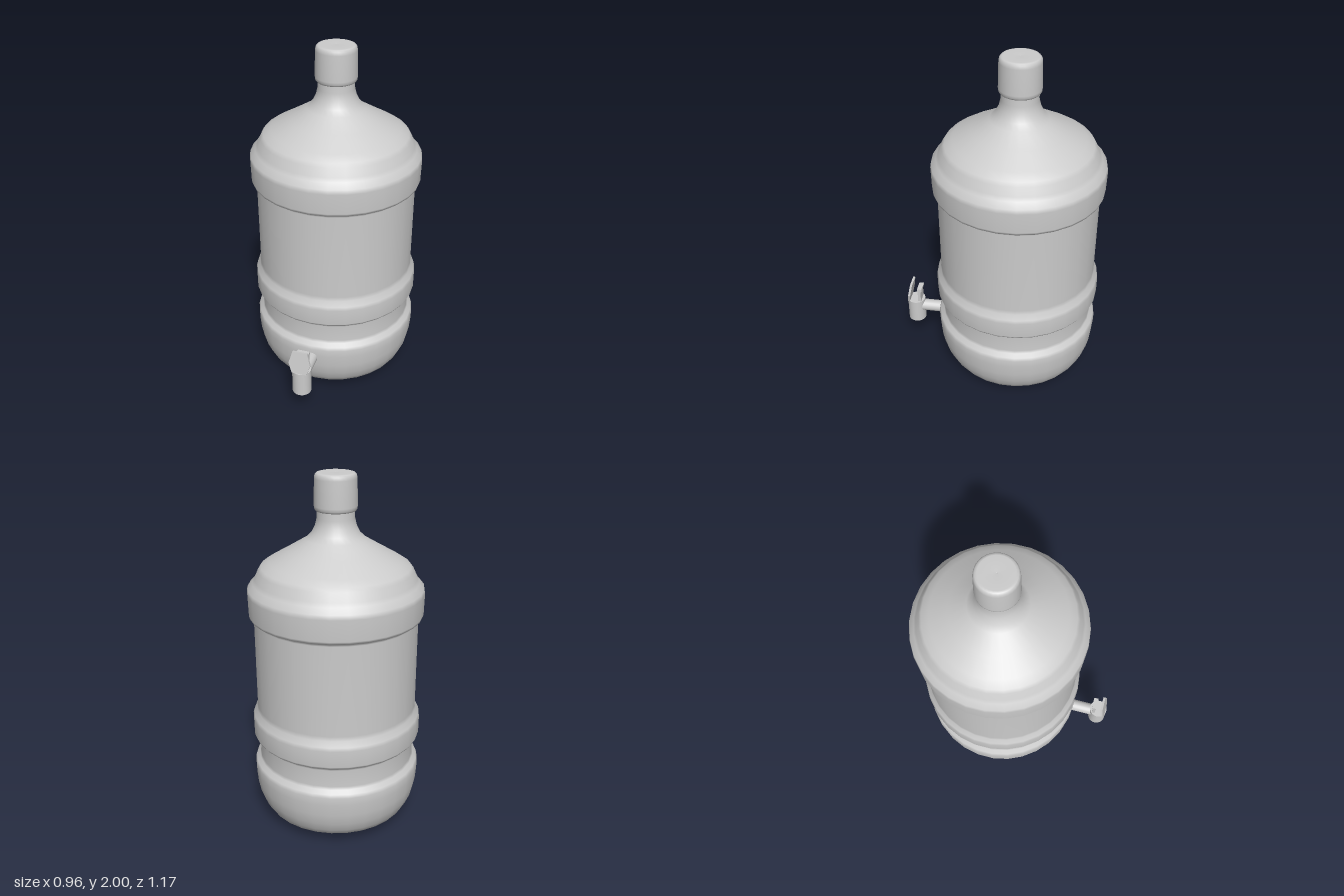
import * as THREE from 'three';

const AXIS_Z = -0.105; // bottle axis; the tap sits in front of it
const material = new THREE.MeshStandardMaterial({ color: 0xcccccc });

function add(parent, name, geometry, x = 0, y = 0, z = 0) {
  const mesh = new THREE.Mesh(geometry, material);
  mesh.name = name;
  mesh.position.set(x, y, z);
  parent.add(mesh);
  return mesh;
}

const lathe = (points) =>
  new THREE.LatheGeometry(points.map(([r, y]) => new THREE.Vector2(r, y)), 30);

export function createModel() {
  const model = new THREE.Group();
  model.name = 'waterBottleWithTap';

  // Bottle: dimpled base, three raised bands, sloping shoulder and neck
  add(model, 'bottleBody', lathe([
    [0, 0.12], [0.05, 0.112], [0.1, 0.085], [0.16, 0.035], [0.2, 0.01],
    [0.24, 0.002], [0.3, 0.016], [0.36, 0.045], [0.41, 0.075], [0.432, 0.11],
    [0.455, 0.165], [0.468, 0.23], [0.474, 0.3], [0.475, 0.345], [0.468, 0.365],
    [0.447, 0.383], [0.442, 0.4], [0.442, 0.5], [0.447, 0.515],
    [0.468, 0.526], [0.476, 0.54], [0.477, 0.635], [0.471, 0.655],
    [0.453, 0.685], [0.45, 0.71], [0.451, 1.22], [0.455, 1.234],
    [0.474, 1.241], [0.478, 1.255], [0.481, 1.37], [0.477, 1.395],
    [0.45, 1.425], [0.437, 1.445], [0.417, 1.49], [0.402, 1.51],
    [0.36, 1.537], [0.26, 1.595], [0.16, 1.655], [0.13, 1.685],
    [0.11, 1.725], [0.101, 1.765], [0.1, 1.83],
  ]), 0, 0, AXIS_Z);

  // Cap with softened rims
  add(model, 'cap', lathe([
    [0.095, 1.805], [0.107, 1.805], [0.113, 1.814], [0.115, 1.83], [0.112, 1.97],
    [0.109, 1.988], [0.101, 1.997], [0.09, 2], [0.004, 2], [0.003, 1.995], [0, 1.995],
  ]), 0, 0, AXIS_Z);

  // Tap: pipe, valve body and two upright plates
  const tap = new THREE.Group();
  tap.name = 'tap';
  model.add(tap);

  add(tap, 'tapPipe', new THREE.CylinderGeometry(0.036, 0.036, 0.19, 20).rotateX(Math.PI / 2),
    0, 0.284, 0.415);
  add(tap, 'tapValve', new THREE.CylinderGeometry(0.054, 0.054, 0.15, 24), 0, 0.26, 0.531);

  // Hexagonal lever, leaning back towards the bottle
  const hexagon = new THREE.Shape([
    [-0.043, 0], [0.043, 0], [0.063, 0.06], [0.043, 0.133], [-0.043, 0.133], [-0.063, 0.06],
  ].map(([x, y]) => new THREE.Vector2(x, y)));
  const lever = add(tap, 'tapLever',
    new THREE.ExtrudeGeometry(hexagon, { depth: 0.013, bevelEnabled: false }), 0, 0.333, 0.565);
  lever.rotation.x = -0.17;

  // Rear stop with a slightly thicker top
  const stopSide = new THREE.Shape([
    [-0.008, 0], [0.01, 0], [0.01, 0.075], [0.013, 0.085], [0.013, 0.1],
    [-0.015, 0.1], [-0.015, 0.085], [-0.008, 0.075],
  ].map(([z, y]) => new THREE.Vector2(-z, y)).reverse());
  add(tap, 'tapStop',
    new THREE.ExtrudeGeometry(stopSide, { depth: 0.07, bevelEnabled: false })
      .translate(0, 0, -0.035).rotateY(Math.PI / 2), 0, 0.33, 0.503);

  return model;
}
